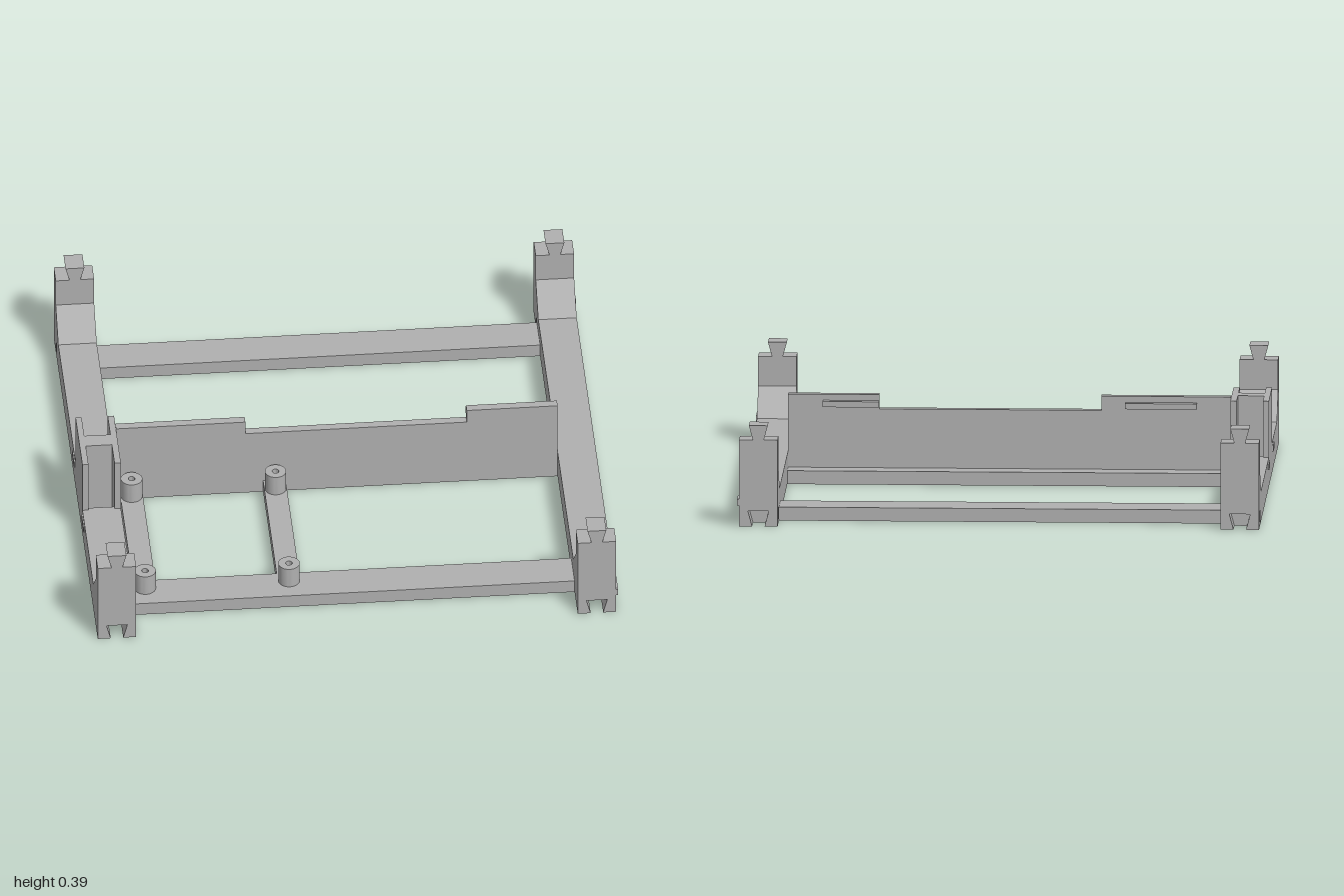
import * as THREE from 'three';
import { toCreasedNormals } from 'three/addons/utils/BufferGeometryUtils.js';

export function createModel() {
  const model = new THREE.Group();
  const grey = new THREE.MeshStandardMaterial({ color: 0xb0b0b0 });
  grey.name = 'plainGrey';

  const add = (name, geometry) => {
    const mesh = new THREE.Mesh(geometry, grey);
    mesh.name = name;
    model.add(mesh);
    return mesh;
  };
  // box given by its limits
  const box = (name, x0, x1, y0, y1, z0, z1) =>
    add(name, new THREE.BoxGeometry(x1 - x0, y1 - y0, z1 - z0)
      .translate((x0 + x1) / 2, (y0 + y1) / 2, (z0 + z1) / 2));
  const shape = (pts) => new THREE.Shape(pts.map(([x, y]) => new THREE.Vector2(x, y)));
  const extrude = (s, depth, curveSegments = 12) =>
    new THREE.ExtrudeGeometry(s, { depth, bevelEnabled: false, curveSegments });

  const W = 0.147, END = 0.963, POST = 0.876, RAIL = 0.113, TOP = 0.335, SLOT = 0.06, BAR = 0.052;

  // one end of a side rail: beam, sloped gusset, post, dovetail tongue and slot
  function railEnd(side, x0, start, s) {
    const profile = shape([
      [start, 0], [POST, 0], [POST, SLOT], [END, SLOT], [END, TOP],
      [POST, TOP], [POST, 0.22], [0.765, RAIL], [start, RAIL],
    ].map(([z, y]) => [z * s, y]));
    if (s < 0) {
      profile.holes.push(shape([[-0.863, 0.008], [-0.838, 0.008], [-0.838, 0.055], [-0.863, 0.055]]));
    }
    add(side + 'Rail', extrude(profile, W).rotateY(-Math.PI / 2).translate(x0 + W, 0, 0));

    const cx = x0 + W / 2, zMin = s > 0 ? POST : -END, depth = END - POST;
    add(side + 'Tongue', extrude(shape([
      [-0.021, TOP], [0.021, TOP], [0.036, 0.39], [-0.036, 0.39],
    ]), depth).translate(cx, 0, zMin));
    // cheeks on both sides of the slot under the post
    for (const m of [-1, 1]) {
      add(side + 'SlotCheek', extrude(shape([
        [0.024 * m, 0], [W / 2 * m, 0], [W / 2 * m, SLOT], [0.04 * m, SLOT],
      ]), depth).translate(cx, 0, zMin));
    }
  }

  const LX = 0.843, RX = -0.995;
  railEnd('left', LX, 0, 1);
  railEnd('left', LX, 0, -1);
  railEnd('right', RX, 0.28, 1);
  railEnd('right', RX, -0.005, -1);

  // double socket standing in the right rail: two plates joined by a web
  box('socketOuterPlate', RX, -0.972, 0, 0.33, -0.008, 0.293);
  box('socketInnerPlate', -0.872, RX + W, 0, 0.33, -0.008, 0.293);
  box('socketWeb', -0.972, -0.872, 0, 0.33, 0.11, 0.175);

  // small side catches
  for (const s of [-1, 1]) box('leftCatch', LX + W, 0.998, 0.08, 0.105, s > 0 ? 0.88 : -END, s > 0 ? END : -0.88);
  box('rightCatch', -1, RX, 0.08, 0.105, -0.105, -0.025);
  box('rightCatch', -1, RX, 0.08, 0.105, 0.307, 0.39);

  // cross bars
  const X0 = RX + W, X1 = LX;
  box('backBar', X0, X1, 0, BAR, -0.83, -0.685);
  box('frontBar', X0, X1, 0, BAR, 0.677, 0.823);
  box('middleBar', X0, X1, 0, BAR, -0.028, 0.083);

  // stepped divider wall
  add('dividerWall', extrude(shape([
    [X0, BAR], [X1, BAR], [X1, TOP], [0.495, TOP], [0.495, 0.28],
    [-0.353, 0.28], [-0.353, TOP], [X0, TOP],
  ]), 0.033).translate(0, 0, 0.05));
  box('wallLip', -0.718, -0.445, 0.29, 0.312, 0.022, 0.05);
  box('wallLip', 0.495, 0.71, 0.29, 0.312, 0.022, 0.05);

  // struts with hollow standoffs
  for (const x of [-0.793, -0.242]) {
    box('strut', x - 0.043, x + 0.043, 0, BAR, 0.083, 0.677);
    for (const z of [0.137, 0.725]) {
      const ring = new THREE.Shape().absarc(0, 0, 0.041, 0, Math.PI * 2);
      ring.holes.push(new THREE.Path().absarc(0, 0, 0.013, 0, Math.PI * 2));
      const g = extrude(ring, 0.135 - BAR, 16).rotateX(-Math.PI / 2).translate(x, BAR, z);
      add('standoff', toCreasedNormals(g, 0.7));
    }
  }
  return model;
}
